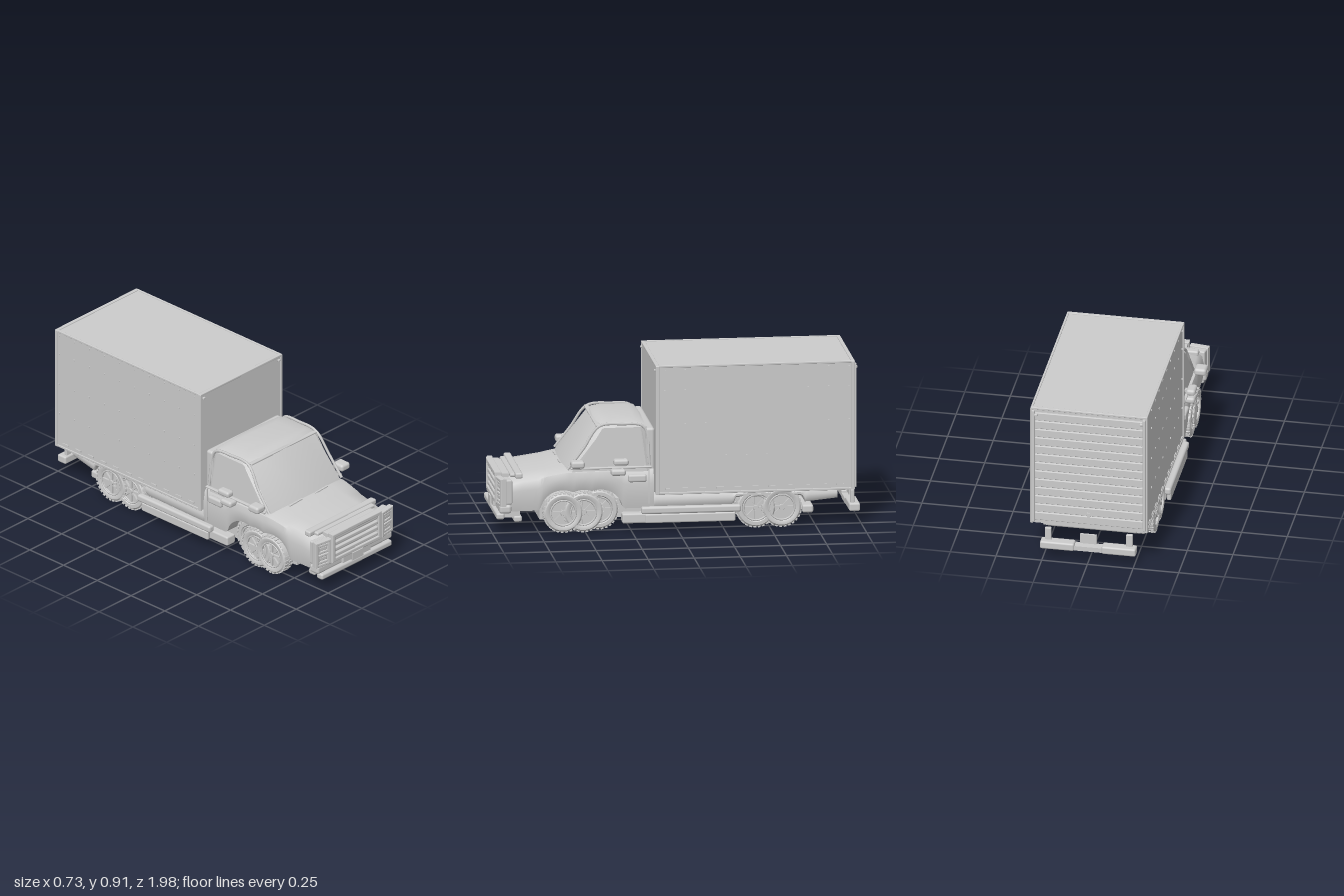
import * as THREE from 'three';
import { toCreasedNormals } from 'three/addons/utils/BufferGeometryUtils.js';
import { RoundedBoxGeometry } from 'three/addons/geometries/RoundedBoxGeometry.js';

const mat = new THREE.MeshStandardMaterial({ color: 0xcccccc });
const thin = new THREE.MeshStandardMaterial({ color: 0xcccccc, side: THREE.DoubleSide });

function add(parent, name, geo, x = 0, y = 0, z = 0, m = mat) {
  const mesh = new THREE.Mesh(geo, m);
  mesh.name = name;
  mesh.position.set(x, y, z);
  parent.add(mesh);
  return mesh;
}
// box given by its limits, optionally rounded
function block(parent, name, [x0, x1], [y0, y1], [z0, z1], r = 0) {
  const s = [x1 - x0, y1 - y0, z1 - z0];
  const geo = r ? new RoundedBoxGeometry(...s, 2, r) : new THREE.BoxGeometry(...s);
  return add(parent, name, geo, (x0 + x1) / 2, (y0 + y1) / 2, (z0 + z1) / 2);
}
// the same box on both sides
function pair(parent, name, [a, b], y, z, r) {
  block(parent, name + 'Left', [a, b], y, z, r);
  block(parent, name + 'Right', [-b, -a], y, z, r);
}
// skin over closed rings of points, with capped ends
function loft(rings, crease = 0.6) {
  const n = rings[0].length, pos = rings.flat(2), idx = [];
  rings.slice(1).forEach((_, i) => {
    for (let j = 0; j < n; j++) {
      const a = i * n + j, b = i * n + (j + 1) % n;
      idx.push(a, b, a + n, b, b + n, a + n);
    }
  });
  const last = (rings.length - 1) * n;
  for (let j = 1; j < n - 1; j++) idx.push(0, j + 1, j, last, last + j, last + j + 1);
  // turn every face outwards
  const p = (i) => new THREE.Vector3(...pos.slice(i * 3, i * 3 + 3));
  let vol = 0;
  for (let i = 0; i < idx.length; i += 3) vol += p(idx[i]).dot(p(idx[i + 1]).cross(p(idx[i + 2])));
  if (vol < 0) idx.reverse();
  const geo = new THREE.BufferGeometry();
  geo.setAttribute('position', new THREE.Float32BufferAttribute(pos, 3));
  geo.setIndex(idx);
  return toCreasedNormals(geo, crease);
}
const mirrorX = (half) => [...half, ...half.slice(1, -1).reverse().map(([x, y, z]) => [-x, y, z])];
// linear lookup in rows of [z, ...values], z falling
function sample(rows, z) {
  let i = 0;
  while (i < rows.length - 2 && z < rows[i + 1][0]) i++;
  const [a, b] = [rows[i], rows[i + 1]];
  const t = THREE.MathUtils.clamp((a[0] - z) / (a[0] - b[0]), 0, 1);
  return a.map((v, k) => v + (b[k] - v) * t);
}
// lower body with raised underside over the wheels; rows: z, half width, top, bottom
function bodyShell(rows, arches, z0, z1) {
  const rings = [], steps = Math.round((z0 - z1) / 0.012);
  for (let i = 0; i <= steps; i++) {
    const z = z0 + (z1 - z0) * i / steps;
    let [, w, t, b] = sample(rows, z);
    for (const c of arches) {
      const d = Math.abs(z - c);
      if (d < 0.125) b = Math.max(b, Math.min(t - 0.03, 0.112 + Math.sqrt(0.0157 - d * d)));
    }
    const h = t - b;
    rings.push(mirrorX([[0, t + 0.008, z], [w * 0.6, t + 0.004, z], [w * 0.9, t - 0.008, z], [w * 0.97, t - h * 0.15, z],
      [w, t - h * 0.4, z], [w, b + h * 0.25, z], [w * 0.97, b, z], [0, b, z]]));
  }
  return loft(rings, 0.7);
}

function wheel(width) {
  const g = new THREE.Group(), h = width / 2;
  const tyre = [[0.07, -h * 0.8], [0.078, -h], [0.096, -h], [0.105, -h * 0.75], [0.106, 0], [0.105, h * 0.75],
    [0.096, h], [0.078, h], [0.07, h * 0.8], [0.066, 0], [0.07, -h * 0.8]].map(([x, y]) => new THREE.Vector2(x, y));
  add(g, 'tyre', toCreasedNormals(new THREE.LatheGeometry(tyre, 36), 0.7));
  for (let i = 0; i < 28; i++) for (const s of [-1, 1]) {
    const a = (i + s * 0.25) / 28 * Math.PI * 2;
    const lug = add(g, 'treadLug', new THREE.BoxGeometry(0.007, h * 0.85, 0.014), Math.cos(a) * 0.106, s * h * 0.5, Math.sin(a) * 0.106);
    lug.rotation.y = -a;
  }
  add(g, 'rimDish', new THREE.CylinderGeometry(0.07, 0.07, h * 0.9, 32));
  const lip = add(g, 'rimLip', new THREE.TorusGeometry(0.069, 0.005, 8, 32), 0, h * 0.85);
  lip.rotation.x = Math.PI / 2;
  add(g, 'hub', new THREE.CylinderGeometry(0.014, 0.019, h * 0.55, 16), 0, h * 0.65);
  for (let i = 0; i < 8; i++) {
    const a = i * Math.PI / 4;
    const spoke = add(g, 'spoke', new THREE.BoxGeometry(0.054, h * 0.35, 0.012), Math.cos(a) * 0.042, h * 0.6, Math.sin(a) * 0.042);
    spoke.rotation.y = -a;
  }
  return g;
}

function frame(x0, x1, y0, y1, border, depth) {
  const rect = (P, i) => new P().moveTo(x0 + i, y0 + i).lineTo(x1 - i, y0 + i).lineTo(x1 - i, y1 - i).lineTo(x0 + i, y1 - i).closePath();
  const s = rect(THREE.Shape, 0);
  s.holes.push(rect(THREE.Path, border));
  return new THREE.ExtrudeGeometry(s, { depth, bevelSize: 0.004, bevelThickness: 0.004, bevelSegments: 2 });
}
// thin flat panel through corner points
function panel(pts) {
  const g = new THREE.BufferGeometry();
  g.setAttribute('position', new THREE.Float32BufferAttribute(pts.flat(), 3));
  g.setIndex([0, 1, 2, 0, 2, 3]);
  g.computeVertexNormals();
  return g;
}

export function createModel() {
  const model = new THREE.Group();
  model.name = 'boxTruck';
  const part = (name) => {
    const g = new THREE.Group();
    g.name = name;
    model.add(g);
    return g;
  };

  // Lower body, bed and chassis
  const body = part('body');
  add(body, 'cabBody', bodyShell([[0.945, 0.265, 0.275, 0.14], [0.92, 0.28, 0.29, 0.125], [0.84, 0.283, 0.315, 0.125], [0.68, 0.295, 0.335, 0.13],
    [0.6, 0.303, 0.35, 0.13], [0.4, 0.305, 0.353, 0.13], [0.13, 0.305, 0.355, 0.13]], [0.62, 0.51, 0.42], 0.945, 0.13));
  add(body, 'bed', bodyShell([[0.13, 0.3, 0.205, 0.13], [-0.7, 0.3, 0.205, 0.14], [-0.87, 0.27, 0.2, 0.15]], [-0.425, -0.565], 0.13, -0.87));
  block(body, 'underbody', [-0.22, 0.22], [0.065, 0.17], [-0.66, 0.74]);
  pair(body, 'sill', [0.235, 0.3], [0.045, 0.1], [-0.31, 0.3], 0.01);
  pair(body, 'runningBoard', [0.295, 0.333], [0.1, 0.14], [-0.34, 0.2], 0.012);
  pair(body, 'stepPlate', [0.305, 0.328], [0.05, 0.1], [-0.31, 0.18], 0.008);
  block(body, 'innerRearBumper', [-0.27, 0.27], [0.07, 0.115], [-0.74, -0.68], 0.012);
  block(body, 'rearStep', [-0.25, 0.25], [0.145, 0.185], [-0.875, -0.8], 0.012);
  pair(body, 'doorHandle', [0.29, 0.32], [0.275, 0.318], [0.17, 0.27], 0.012);
  pair(body, 'doorSeam', [0.3, 0.308], [0.155, 0.35], [0.155, 0.159]);
  pair(body, 'beltMoulding', [0.285, 0.304], [0.35, 0.36], [0.14, 0.58], 0.004);

  // Cab greenhouse, y rows: y, front, back, half width
  const cab = part('cab');
  const ring = ([y, f, b, w, e = 0]) => mirrorX([[0, y, f], [w * 0.6, y - e * 0.4, f - 0.008], [w * 0.94, y - e, f - 0.025], [w, y - e, f - 0.05],
    [w, y - e, b + 0.03], [w * 0.94, y - e, b], [0, y, b]]);
  add(cab, 'cabShell', loft([[0.33, 0.625, 0.135, 0.29], [0.36, 0.61, 0.14, 0.287], [0.575, 0.445, 0.165, 0.272, 0.005],
    [0.593, 0.43, 0.17, 0.265, 0.013], [0.602, 0.405, 0.185, 0.24, 0.012], [0.606, 0.36, 0.22, 0.17, 0.007]].map(ring), 0.5));
  for (const s of [-1, 1]) {
    add(cab, 'sideWindow', panel([[s * 0.29, 0.365, 0.535], [s * 0.29, 0.365, 0.18], [s * 0.277, 0.57, 0.2], [s * 0.277, 0.57, 0.405]]), 0, 0, 0, thin);
    const pillar = new THREE.CatmullRomCurve3([[0.283, 0.35, 0.595], [0.277, 0.46, 0.51], [0.264, 0.578, 0.423], [0.264, 0.588, 0.3], [0.268, 0.57, 0.18],
      [0.284, 0.36, 0.15]].map(([x, y, z]) => new THREE.Vector3(s * x, y, z)), false, 'centripetal');
    add(cab, 'pillarTrim', new THREE.TubeGeometry(pillar, 40, 0.008, 6));
    const wiper = block(cab, 'wiper', [s * 0.1 - 0.05, s * 0.1 + 0.05], [0.353, 0.359], [0.612, 0.622]);
    wiper.rotation.z = 0.06;
  }
  block(cab, 'roofLip', [-0.255, 0.255], [0.575, 0.585], [0.415, 0.44], 0.004);
  block(cab, 'rearCabWall', [-0.28, 0.28], [0.2, 0.565], [0.122, 0.17], 0.015);

  // Mirrors
  const mirrors = part('mirrors');
  pair(mirrors, 'frontMirror', [0.298, 0.365], [0.367, 0.408], [0.51, 0.585], 0.015);
  pair(mirrors, 'upperMirror', [0.3, 0.35], [0.375, 0.41], [0.27, 0.352], 0.014);
  pair(mirrors, 'lowerMirror', [0.285, 0.345], [0.318, 0.353], [0.285, 0.365], 0.014);
  pair(mirrors, 'mirrorArm', [0.27, 0.31], [0.38, 0.395], [0.3, 0.325]);

  // Front end
  const front = part('frontEnd');
  block(front, 'grilleBack', [-0.185, 0.185], [0.165, 0.315], [0.9, 0.955]);
  add(front, 'grilleFrame', frame(-0.187, 0.187, 0.159, 0.32, 0.014, 0.03), 0, 0, 0.945);
  for (let i = 0; i < 4; i++) block(front, 'grilleBar', [-0.173, 0.173], [0.178 + i * 0.035, 0.2 + i * 0.035], [0.95, 0.972], 0.006);
  for (const s of [-1, 1]) {
    const lamp = new THREE.Group();
    lamp.name = 'headlight';
    lamp.position.set(s * 0.247, 0, 0.94);
    lamp.rotation.y = s * 0.15;
    block(lamp, 'lampBase', [-0.045, 0.045], [0.165, 0.3], [-0.04, 0.01], 0.008);
    add(lamp, 'lampBezel', frame(-0.048, 0.048, 0.16, 0.303, 0.009, 0.025));
    for (const y of [0.2, 0.26]) {
      add(lamp, 'lampRim', frame(-0.038, 0.038, y - 0.024, y + 0.024, 0.008, 0.014), 0, 0, 0.008);
      block(lamp, 'lampLens', [-0.028, 0.028], [y - 0.01, y + 0.012], [0.005, 0.024], 0.005);
    }
    front.add(lamp);
  }
  block(front, 'upperBumper', [-0.293, 0.293], [0.115, 0.163], [0.9, 0.965], 0.015);
  block(front, 'bumper', [-0.275, 0.275], [0.08, 0.116], [0.935, 0.98], 0.012);
  block(front, 'lowerValance', [-0.23, 0.23], [0.055, 0.088], [0.835, 0.88], 0.01);
  block(front, 'valanceMount', [-0.22, 0.22], [0.08, 0.14], [0.845, 0.94]);
  block(front, 'plateHolder', [-0.108, 0.108], [0.122, 0.16], [0.95, 0.978], 0.004);
  block(front, 'plate', [-0.042, 0.042], [0.115, 0.16], [0.96, 0.985]);
  block(front, 'hoodRail', [-0.262, 0.262], [0.3, 0.332], [0.835, 0.875], 0.01);
  block(front, 'noseRail', [-0.225, 0.225], [0.302, 0.322], [0.86, 0.9], 0.008);

  // Wheels: x centre, z, width
  const wheels = part('wheels');
  for (const [x, z, w] of [[0.268, 0.62, 0.066], [0.265, 0.51, 0.066], [0.2, 0.42, 0.08], [0.262, -0.425, 0.075], [0.2, -0.45, 0.08], [0.268, -0.565, 0.066]])
    for (const s of [-1, 1]) {
      const wh = wheel(w);
      wh.name = z > 0 ? 'frontWheel' : 'rearWheel';
      wh.position.set(s * x, 0.113, z);
      wh.rotation.z = -s * Math.PI / 2;
      wheels.add(wh);
    }

  // Cargo box with edge trim, rivets and marker lights
  const cargo = part('cargoBox');
  block(cargo, 'boxBody', [-0.315, 0.315], [0.205, 0.91], [-0.95, 0.118]);
  for (const z of [0.112, -0.948]) {
    pair(cargo, 'cornerPost', [0.306, 0.321], [0.203, 0.912], [z - 0.01, z + 0.01], 0.003);
    block(cargo, 'topEdge', [-0.32, 0.32], [0.902, 0.915], [z - 0.01, z + 0.01], 0.003);
  }
  pair(cargo, 'topRail', [0.308, 0.32], [0.902, 0.915], [-0.955, 0.12], 0.003);
  pair(cargo, 'bottomRail', [0.306, 0.319], [0.203, 0.216], [-0.955, 0.12], 0.003);
  pair(cargo, 'markerLight', [0.286, 0.303], [0.88, 0.892], [0.115, 0.128], 0.004);
  for (let i = 0; i < 10; i++)
    for (const y of [0.885, 0.775, 0.59, 0.41]) pair(cargo, 'rivet', [0.314, 0.319], [y - 0.004, y + 0.004], [0.068 - i * 0.111, 0.076 - i * 0.111]);
  for (let i = 0; i < 11; i++) pair(cargo, 'lashingSlot', [0.314, 0.32], [0.23, 0.239], [0.03 - i * 0.093, 0.07 - i * 0.093]);

  // Roller door and rear bumper
  const rear = part('rear');
  for (let i = 0; i < 13; i++) block(rear, 'doorSlat', [-0.295, 0.295], [0.228 + i * 0.051, 0.274 + i * 0.051], [-0.962, -0.945], 0.004);
  pair(rear, 'doorJamb', [0.295, 0.312], [0.215, 0.9], [-0.968, -0.94], 0.004);
  block(rear, 'doorHandle', [-0.008, 0.008], [0.23, 0.3], [-0.97, -0.955]);
  pair(rear, 'rearMarker', [0.28, 0.297], [0.868, 0.882], [-0.975, -0.96], 0.004);
  pair(rear, 'rearBumper', [0.075, 0.262], [0.07, 0.115], [-0.995, -0.935], 0.01);
  block(rear, 'bumperCentre', [-0.08, 0.08], [0.073, 0.1], [-0.985, -0.935]);
  pair(rear, 'bumperBracket', [0.205, 0.24], [0.11, 0.185], [-0.965, -0.945], 0.004);
  block(rear, 'rearPlate', [-0.045, 0.045], [0.115, 0.17], [-0.972, -0.96]);
  return model;
}
